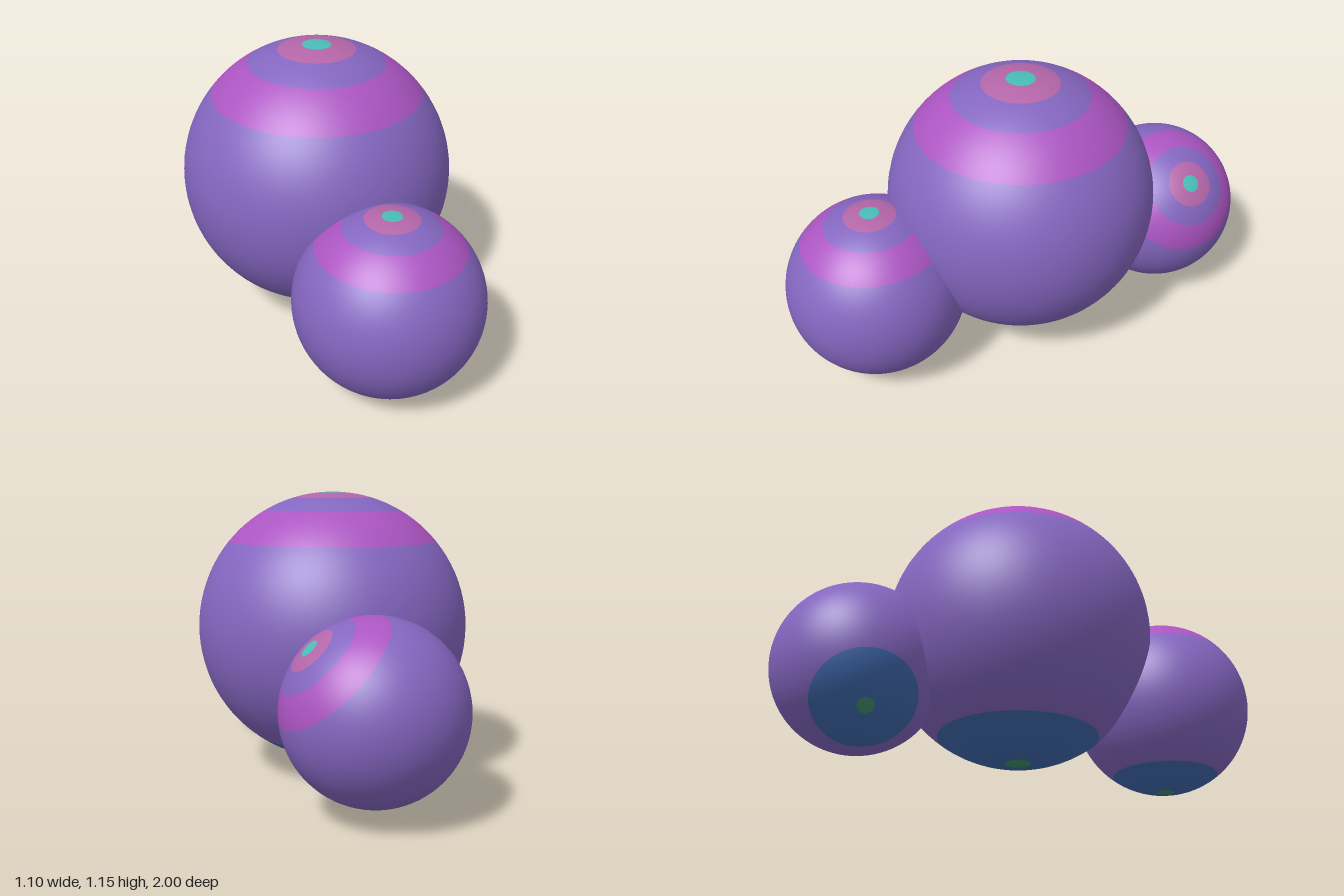
import * as THREE from 'three';

const mat = (name, color) => {
  const m = new THREE.MeshStandardMaterial({ color });
  m.name = name;
  return m;
};

export function createModel() {
  const purple = mat('purple', 0x8466c0);
  const magenta = mat('magenta', 0xab55c2);
  const pink = mat('pink', 0xb466a8);
  const teal = mat('teal', 0x48bdb8);
  const blue = mat('blue', 0x3f69ae);
  const green = mat('green', 0x40906e);

  // Colour bands from the top pole to the bottom pole: name, end angle in degrees, material
  const bands = [
    ['topDot', 6, teal],
    ['topRing', 16.3, pink],
    ['upperBand', 30, purple],
    ['wideBand', 50.3, magenta],
    ['body', 144, purple],
    ['bottomCap', 174.5, blue],
    ['bottomDot', 180, green],
  ];

  // A smooth ball made of matching spherical zones
  function ball(name, radius, position, tilt = 0) {
    const group = new THREE.Group();
    group.name = name;
    let start = 0;
    for (const [part, end, material] of bands) {
      const rows = Math.max(2, Math.ceil((end - start) / 4));
      const geometry = new THREE.SphereGeometry(radius, 72, rows, 0, Math.PI * 2,
        THREE.MathUtils.degToRad(start), THREE.MathUtils.degToRad(end - start));
      const mesh = new THREE.Mesh(geometry, material);
      mesh.name = part;
      group.add(mesh);
      start = end;
    }
    group.position.set(...position);
    group.rotation.z = tilt;
    return group;
  }

  const model = new THREE.Group();
  model.name = 'bandedBalls';
  model.add(
    ball('largeBall', 0.548, [0, 0.6, -0.015]),
    ball('frontBall', 0.364, [0, 0.364, 0.636]),
    ball('backBall', 0.34, [0.06, 0.39, -0.66], -Math.PI / 4), // leans to its left
  );
  return model;
}
